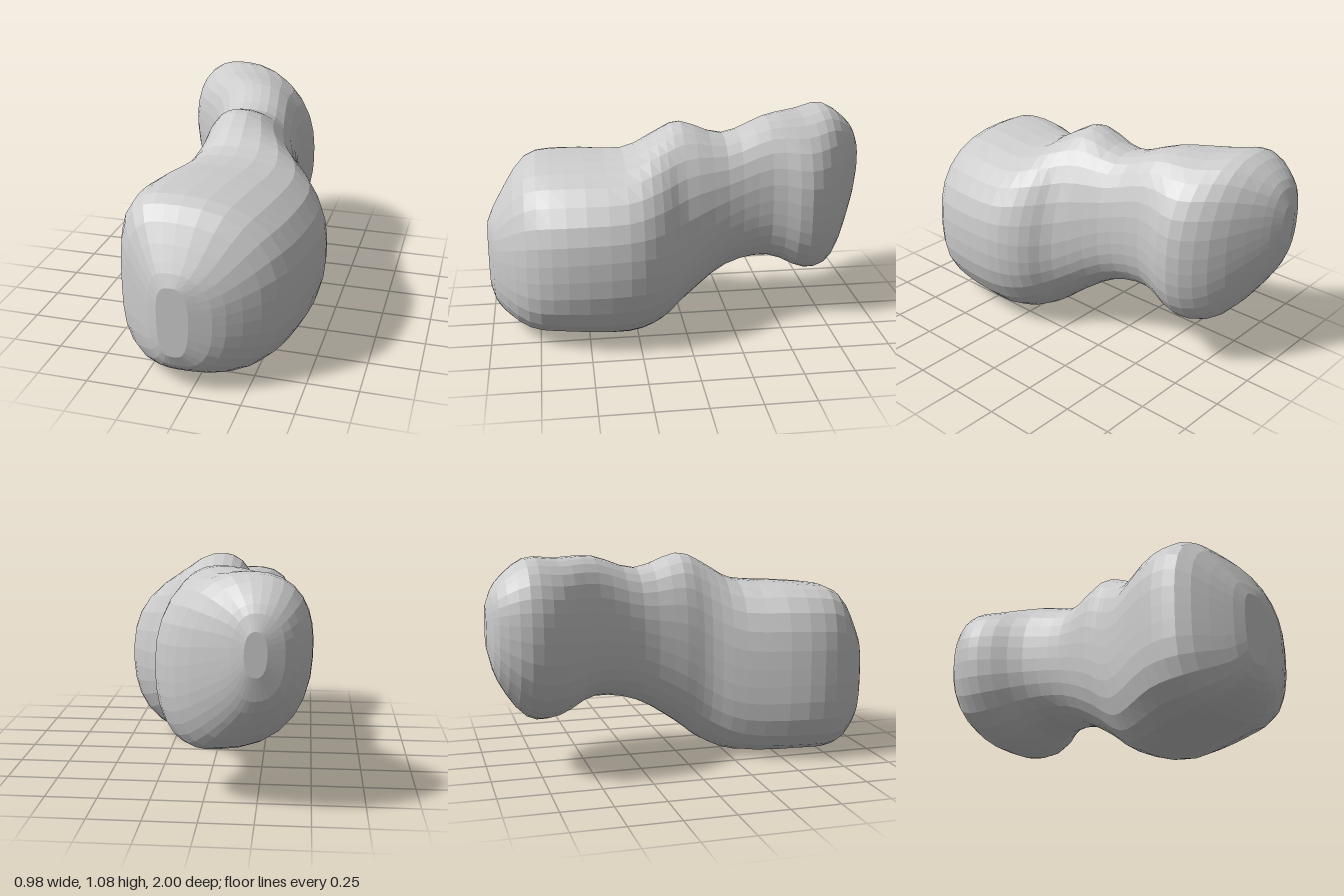
import * as THREE from 'three';

// Key cross-sections from front to back, each with its four extreme points:
// [z, leftX, leftY, rightX, rightY, bottomX, bottomY, topX, topY]
const KEYS = [
  [1, -0.14, 0.4, 0.01, 0.4, -0.06, 0.2, -0.07, 0.55],
  [0.95, -0.22, 0.4, 0.17, 0.4, -0.05, 0.11, -0.1, 0.65],
  [0.8, -0.38, 0.44, 0.37, 0.42, -0.05, 0.02, -0.13, 0.86],
  [0.6, -0.4, 0.45, 0.46, 0.45, -0.03, 0.01, -0.11, 0.9],
  [0.3, -0.31, 0.44, 0.49, 0.47, 0.02, 0, -0.03, 0.92],
  [0.13, -0.25, 0.5, 0.44, 0.46, 0.05, 0.06, -0.02, 1.01],
  [0, -0.24, 0.58, 0.33, 0.47, 0.05, 0.16, -0.02, 1.06],
  [-0.22, -0.23, 0.66, 0.23, 0.59, 0.01, 0.3, -0.02, 0.99],
  [-0.45, -0.3, 0.71, 0.2, 0.65, 0.02, 0.34, -0.06, 1.06],
  [-0.65, -0.46, 0.74, 0.23, 0.61, 0.02, 0.26, -0.16, 1.065],
  [-0.81, -0.49, 0.76, 0.12, 0.61, -0.06, 0.285, -0.24, 1.075],
  [-0.95, -0.41, 0.77, -0.1, 0.7, -0.22, 0.49, -0.25, 0.97],
  [-1, -0.3, 0.77, -0.2, 0.75, -0.25, 0.66, -0.25, 0.86],
];
const ROWS = (KEYS.length - 1) * 3;
const SIDES = 32;

// Smooth rail along the body through one extreme point of every section
function makeRail(column) {
  return new THREE.CatmullRomCurve3(
    KEYS.map((key) => new THREE.Vector3(key[column], key[column + 1], key[0])), false, 'catmullrom');
}

// Roundness of a ring quarter (2 is an ellipse, higher is boxier):
// square-shouldered front lobe, sloping right shoulder beside the hump
function roundness(z, isRight, isTop) {
  const front = THREE.MathUtils.smoothstep(z, 0.1, 0.6);
  if (!isRight) return 2.4 + 0.8 * front;
  if (!isTop) return 2.4 + 0.3 * front;
  return 2.4 + 0.1 * front - 0.55 * Math.exp(-(((z - 0.05) / 0.15) ** 2));
}

// Point on a ring of four superellipse quarters between the rails
function ringPoint(left, right, bottom, top, angle) {
  const c = Math.cos(angle), s = Math.sin(angle);
  const power = roundness(left.z, c >= 0, s >= 0);
  const radius = (Math.abs(c) ** power + Math.abs(s) ** power) ** (-1 / power);
  const u = Math.abs(c) * radius, v = Math.abs(s) * radius;
  const side = c >= 0 ? right : left, end = s >= 0 ? top : bottom;
  return [end.x + (side.x - end.x) * u, side.y + (end.y - side.y) * v, side.z];
}

// Skin over the rings, closed with a fan at both ends
function loftBody() {
  const rails = [1, 3, 5, 7].map(makeRail);
  const positions = [], index = [];
  for (let i = 0; i <= ROWS; i++) {
    const [left, right, bottom, top] = rails.map((rail) => rail.getPoint(i / ROWS));
    for (let j = 0; j < SIDES; j++) {
      positions.push(...ringPoint(left, right, bottom, top, ((j + 0.5) / SIDES) * Math.PI * 2));
    }
  }
  const front = positions.length / 3, back = front + 1;
  for (const t of [0, 1]) {
    const [left, right, bottom, top] = rails.map((rail) => rail.getPoint(t));
    positions.push((left.x + right.x) / 2, (bottom.y + top.y) / 2, left.z);
  }
  for (let j = 0; j < SIDES; j++) {
    const k = (j + 1) % SIDES;
    for (let i = 0; i < ROWS; i++) {
      const a = i * SIDES + j, b = i * SIDES + k;
      index.push(a, a + SIDES, b, b, a + SIDES, b + SIDES);
    }
    index.push(front, j, k, back, ROWS * SIDES + k, ROWS * SIDES + j);
  }
  const geometry = new THREE.BufferGeometry();
  geometry.setAttribute('position', new THREE.Float32BufferAttribute(positions, 3));
  geometry.setIndex(index);
  geometry.computeVertexNormals();
  return geometry;
}

export function createModel() {
  const group = new THREE.Group();
  group.name = 'lumpyBlob';
  // Wide front lobe, humped neck and rear lobe in one continuous skin
  const body = new THREE.Mesh(
    loftBody(), new THREE.MeshStandardMaterial({ color: 0xcccccc, flatShading: true }));
  body.name = 'body';
  group.add(body);
  return group;
}
